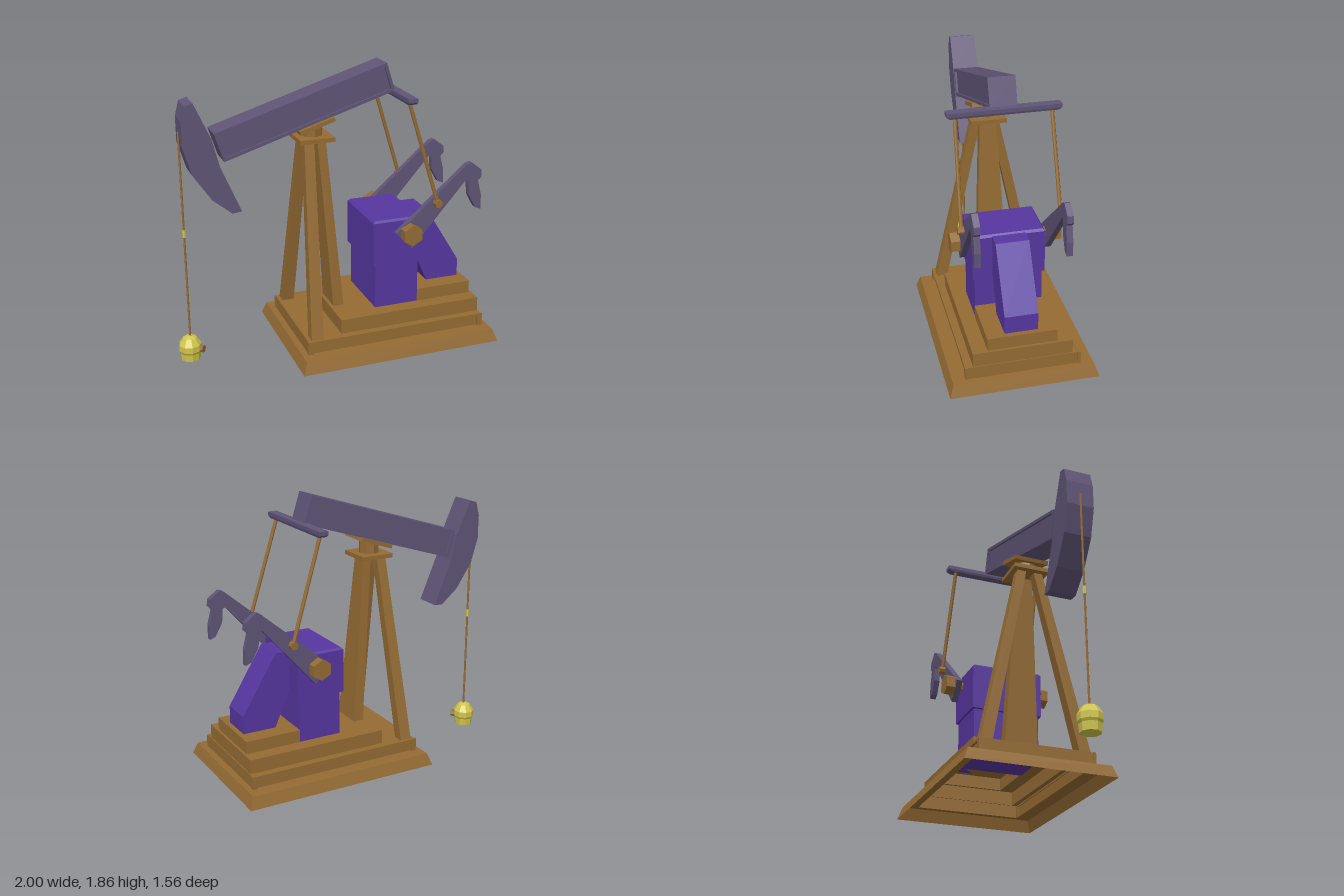
import * as THREE from 'three';

const mat = (name, color, side = THREE.FrontSide) => {
  const m = new THREE.MeshStandardMaterial({ color, side, flatShading: true });
  m.name = name;
  return m;
};

export function createModel() {
  const brown = mat('rusty brown', 0x946b33, THREE.DoubleSide);
  const violet = mat('violet', 0x5636a0);
  const slate = mat('slate purple', 0x5f5476);
  const yellow = mat('yellow', 0xd0c54c);

  const model = new THREE.Group();
  model.name = 'oilPump';
  // The whole machine stands diagonally
  const pump = new THREE.Group();
  pump.name = 'pump';
  pump.position.x = 0.16;
  pump.rotation.y = THREE.MathUtils.degToRad(33);
  model.add(pump);

  const add = (name, geo, material, x = 0, y = 0, z = 0, parent = pump) => {
    const m = new THREE.Mesh(geo, material);
    m.name = name;
    m.position.set(x, y, z);
    parent.add(m);
    return m;
  };
  const box = (name, material, w, h, d, x, y, z, parent) =>
    add(name, new THREE.BoxGeometry(w, h, d), material, x, y, z, parent);

  // Skin through horizontal rectangles [x0, x1, z0, z1, y], listed upwards
  const loft = (rings, closedBottom = true) => {
    const pos = [], idx = [];
    for (const [x0, x1, z0, z1, y] of rings)
      pos.push(x0, y, z1, x1, y, z1, x1, y, z0, x0, y, z0);
    for (let r = 0; r < rings.length - 1; r++)
      for (let i = 0; i < 4; i++) {
        const a = r * 4 + i, b = r * 4 + (i + 1) % 4;
        idx.push(a, b, b + 4, a, b + 4, a + 4);
      }
    const t = (rings.length - 1) * 4;
    idx.push(t, t + 1, t + 2, t, t + 2, t + 3);
    if (closedBottom) idx.push(0, 2, 1, 0, 3, 2);
    const g = new THREE.BufferGeometry();
    g.setAttribute('position', new THREE.Float32BufferAttribute(pos, 3));
    g.setIndex(idx);
    const flat = g.toNonIndexed();
    flat.computeVertexNormals();
    return flat;
  };

  // Side profile in x/y, extruded across z and centred
  const plate = (points, depth) => {
    const s = new THREE.Shape(points.map(p => new THREE.Vector2(...p)));
    return new THREE.ExtrudeGeometry(s, { depth, bevelEnabled: false }).translate(0, 0, -depth / 2);
  };

  // Round bar between two points
  const rod = (name, material, a, b, r, sides = 8) => {
    const p = new THREE.Vector3(...a), q = new THREE.Vector3(...b);
    const m = add(name, new THREE.CylinderGeometry(r, r, p.distanceTo(q), sides), material);
    m.position.copy(p).add(q).multiplyScalar(0.5);
    m.quaternion.setFromUnitVectors(new THREE.Vector3(0, 1, 0), q.sub(p).normalize());
    return m;
  };

  // Stepped hollow base
  add('base', loft([
    [-0.68, 0.68, -0.49, 0.49, 0],
    [-0.652, 0.652, -0.462, 0.462, 0.08],
    [-0.61, 0.61, -0.365, 0.365, 0.08],
    [-0.61, 0.61, -0.365, 0.365, 0.165],
    [-0.373, 0.603, -0.326, 0.326, 0.165],
    [-0.373, 0.603, -0.326, 0.326, 0.26],
    [0.2, 0.585, -0.228, 0.228, 0.26],
    [0.2, 0.585, -0.228, 0.228, 0.345],
  ], false), brown);
  for (const s of [1, -1]) {
    box('baseRail', brown, 1.23, 0.014, 0.02, 0, 0.159, s * 0.369);
    for (const e of [1, -1]) box('baseRailPost', brown, 0.035, 0.08, 0.02, e * 0.5975, 0.12, s * 0.369);
  }

  // Gearbox and sloping motor housing
  add('gearboxLower', loft([
    [-0.1, 0.2, -0.225, 0.225, 0.25],
    [-0.1, 0.2, -0.225, 0.225, 0.56],
  ]), violet);
  add('gearboxUpper', loft([
    [-0.12, 0.215, -0.24, 0.24, 0.56],
    [-0.12, 0.215, -0.24, 0.24, 0.855],
    [-0.105, 0.2, -0.228, 0.228, 0.87],
  ]), violet);
  add('motorHousing', plate([
    [0.19, 0.86], [0.31, 0.86], [0.55, 0.465], [0.55, 0.345], [0.32, 0.345], [0.22, 0.575], [0.19, 0.575],
  ], 0.218), violet);

  // Three-legged post: a wide rear leg and two splayed front legs
  add('rearLeg', loft([
    [-0.35, -0.28, -0.11, 0.11, 0.255],
    [-0.43, -0.375, -0.055, 0.055, 1.4],
  ]), brown);
  for (const s of [1, -1]) {
    const zs = (a, b) => [Math.min(s * a, s * b), Math.max(s * a, s * b)];
    add('frontLeg', loft([
      [-0.585, -0.505, ...zs(0.285, 0.36), 0.16],
      [-0.525, -0.46, ...zs(0.025, 0.085), 1.4],
    ]), brown);
  }
  box('postCap', brown, 0.23, 0.028, 0.24, -0.448, 1.407, 0);
  add('pivot', new THREE.CylinderGeometry(0.068, 0.068, 0.1, 8), brown, -0.448, 1.465, 0);

  // Walking beam with recessed sides
  const beam = new THREE.Group();
  beam.name = 'walkingBeam';
  beam.position.set(-0.506, 1.594, 0);
  beam.rotation.z = THREE.MathUtils.degToRad(17.4);
  pump.add(beam);
  box('beamWeb', slate, 1.16, 0.16, 0.145, 0, 0, 0, beam);
  for (const s of [1, -1]) {
    box('beamFlange', slate, 1.17, 0.02, 0.175, 0, s * 0.085, 0, beam);
    box('beamEnd', slate, 0.02, 0.15, 0.175, s * 0.575, 0, 0, beam);
  }
  box('saddlePlate', brown, 0.24, 0.026, 0.23, 0.03, -0.106, 0, beam);

  // Curved head
  add('head', plate([
    [-1.21, 1.71], [-1.261, 1.695], [-1.287, 1.6], [-1.287, 1.44], [-1.236, 1.265],
    [-1.122, 1.094], [-1.0, 0.992], [-0.937, 0.997], [-1.063, 1.3], [-1.108, 1.48],
  ], 0.175), slate);

  // Cross bar at the tail
  add('crossBar', loft([
    [0.062, 0.114, -0.34, 0.34, 1.645],
    [0.057, 0.119, -0.362, 0.362, 1.66],
    [0.057, 0.119, -0.362, 0.362, 1.685],
  ]), slate);

  // Crank arms with hooked counterweights, rods and hubs on both sides
  rod('crankShaft', brown, [0.105, 0.79, -0.31], [0.105, 0.79, 0.31], 0.035);
  const crank = plate([
    [0.013, 0.794], [0.122, 0.68], [0.49, 1.1], [0.51, 1.09], [0.517, 0.997], [0.567, 0.906],
    [0.606, 0.89], [0.606, 0.987], [0.58, 1.09], [0.606, 1.115], [0.6, 1.163], [0.53, 1.217], [0.498, 1.206],
  ], 0.04);
  for (const s of [1, -1]) {
    add('crankArm', crank, slate, 0, 0, s * 0.285);
    rod('crankHub', brown, [0.105, 0.79, s * 0.3], [0.105, 0.79, s * 0.365], 0.07, 6);
    rod('crankPin', brown, [0.288, 0.976, s * 0.29], [0.288, 0.976, s * 0.345], 0.027);
    rod('connectingRod', brown, [0.288, 0.976, s * 0.32], [0.085, 1.65, s * 0.305], 0.013);
  }

  // Hanging line and wellhead
  const wx = -1.291;
  rod('line', brown, [wx, 0.14, 0], [wx, 1.52, 0], 0.007, 6);
  add('lineClamp', new THREE.CylinderGeometry(0.011, 0.011, 0.05, 6), yellow, wx, 0.865, 0);
  const profile = [[0, 0], [0.062, 0], [0.066, 0.05], [0.074, 0.065], [0.074, 0.105], [0.045, 0.15], [0.018, 0.163], [0, 0.163]];
  add('wellhead', new THREE.LatheGeometry(profile.map(p => new THREE.Vector2(...p)), 9), yellow, wx - 0.003, 0, 0);
  rod('wellheadValve', brown, [wx + 0.04, 0.075, 0.02], [wx + 0.075, 0.075, 0.05], 0.024);

  return model;
}
